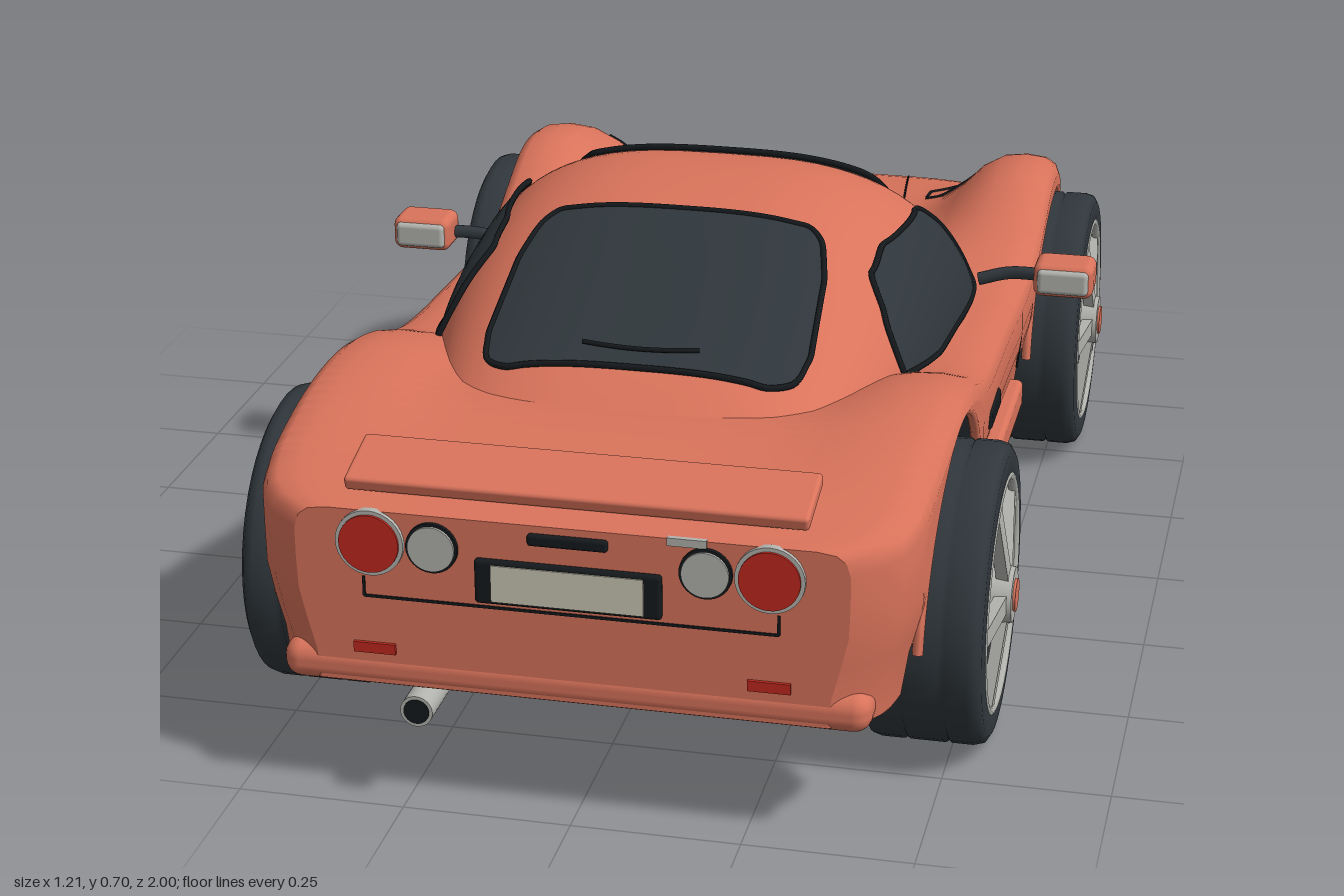
import * as THREE from 'three';
import { RoundedBoxGeometry } from 'three/addons/geometries/RoundedBoxGeometry.js';

const mat = (name, color, side = THREE.FrontSide) => {
  const m = new THREE.MeshStandardMaterial({ color, side });
  m.name = name;
  return m;
};
const paint = mat('coral paint', 0xd9735b, THREE.DoubleSide);
const glass = mat('dark glass', 0x2f363b, THREE.DoubleSide);
const rubber = mat('tyre rubber', 0x30373c);
const black = mat('black trim', 0x15191c);
const silver = mat('silver', 0xb2b2ae);
const red = mat('red lens', 0xc0281e);
const amber = mat('amber lens', 0xd08a1c);
const cream = mat('cream plate', 0xcbc8b4);

// Curve through [position, value, position, value, ...]
const curve = (keys, Type = THREE.CubicInterpolant) => {
  const p = keys.filter((_, i) => i % 2 === 0), v = keys.filter((_, i) => i % 2 === 1);
  const it = new Type(p, v, 1, new Float32Array(1));
  return (t) => it.evaluate(Math.min(Math.max(t, p[0]), p[p.length - 1] - 1e-6))[0];
};
const line = (keys) => curve(keys, THREE.LinearInterpolant);
const lerp = THREE.MathUtils.lerp;

// Body measures along the length (nose at -z, tail at +z)
const width = curve([-0.99, 0.37, -0.975, 0.39, -0.93, 0.42, -0.88, 0.45, -0.8, 0.475, -0.7, 0.485, 0, 0.485,
  0.8, 0.487, 0.88, 0.48, 0.93, 0.465, 0.965, 0.435, 0.985, 0.4]);
const deck = curve([-0.99, 0.335, -0.97, 0.35, -0.9, 0.365, -0.7, 0.385, -0.5, 0.4, -0.25, 0.425, 0, 0.43, 0.3, 0.44,
  0.5, 0.48, 0.65, 0.505, 0.8, 0.497, 0.9, 0.485, 0.96, 0.475, 0.985, 0.465]);
const fender = curve([-0.99, 0.325, -0.97, 0.342, -0.92, 0.36, -0.85, 0.39, -0.77, 0.455, -0.7, 0.5, -0.6, 0.525, -0.52, 0.52,
  -0.42, 0.48, -0.35, 0.45, -0.25, 0.43, 0, 0.438, 0.2, 0.45, 0.3, 0.468, 0.4, 0.503, 0.5, 0.525, 0.6, 0.53,
  0.7, 0.523, 0.8, 0.507, 0.9, 0.485, 0.96, 0.472, 0.985, 0.465]);
const sillLine = line([-0.99, 0.23, -0.975, 0.215, -0.86, 0.195, 0.985, 0.195]);
const ARCHES = [{ z: -0.585, a: 0.28, b: 0.235 }, { z: 0.58, a: 0.28, b: 0.268 }];
const WHEEL_Y = 0.232;
const lowerEdge = (z) => ARCHES.reduce((y, c) => {
  const d = (z - c.z) / c.a;
  return Math.abs(d) < 1 ? Math.max(y, WHEEL_Y + c.b * Math.sqrt(1 - d * d)) : y;
}, sillLine(z));

const F = [0, 0.25, 0.45, 0.55, 0.64, 0.72, 0.8, 0.88];
const WT = [0, 0, 0.03, 0.15, 0.45, 0.78, 0.96, 1];
const swell = line(F.flatMap((f, i) => [f, WT[i]]));
const topY = (x, z) => lerp(deck(z), fender(z), swell(Math.abs(x) / width(z)));

// Half section from the centre line out over the fender and down the side
function halfSection(z) {
  const W = width(z), yf = fender(z), yb = lowerEdge(z), ys = Math.max(yf - 0.035, yb);
  const pts = F.map((f) => [f * W, topY(f * W, z)]);
  [[0.95, 0.004], [0.985, 0.015]].forEach(([f, d]) => pts.push([f * W, Math.max(yf - d, yb)]));
  for (let i = 0; i <= 5; i++) {
    const y = lerp(ys, yb, i / 5);
    pts.push([W - 0.03 * THREE.MathUtils.smoothstep(0.36 - y, 0, 0.16), y]);
  }
  return pts;
}
const fullSection = (z) => {
  const h = halfSection(z);
  return [...h.slice(1).reverse().map(([x, y]) => [-x, y]), ...h];
};

// Surface through rows of [x, y, z] points
function surface(name, material, rows) {
  const n = rows[0].length, index = [];
  for (let i = 0; i < rows.length - 1; i++) for (let j = 0; j < n - 1; j++) {
    const a = i * n + j, b = a + n;
    index.push(a, b, a + 1, b, b + 1, a + 1);
  }
  const g = new THREE.BufferGeometry();
  g.setAttribute('position', new THREE.Float32BufferAttribute(rows.flat(2), 3));
  g.setIndex(index);
  g.computeVertexNormals();
  return part(name, g, material);
}
function part(name, geometry, material, x = 0, y = 0, z = 0) {
  const m = new THREE.Mesh(geometry, material);
  m.name = name;
  m.position.set(x, y, z);
  return m;
}
const box = (name, m, w, h, d, x, y, z) => part(name, new THREE.BoxGeometry(w, h, d), m, x, y, z);
const round = (name, m, w, h, d, r, x, y, z) => part(name, new RoundedBoxGeometry(w, h, d, 3, r), m, x, y, z);
const disc = (name, m, r, d, x, y, z) => part(name, new THREE.CylinderGeometry(r, r, d, 32).rotateX(Math.PI / 2), m, x, y, z);
const wire = (name, m, pts, r, closed = false) => part(name, new THREE.TubeGeometry(
  new THREE.CatmullRomCurve3(pts.map((p) => new THREE.Vector3(...p)), closed, 'centripetal'), pts.length * 3, r, 6, closed), m);
const steps = (n, a, b) => Array.from({ length: n + 1 }, (_, i) => lerp(a, b, i / n));

// Cabin: |x/w|^3 + ((y-base)/h)^2 = 1 at every z
const BASE = 0.42;
const cabW = curve([-0.25, 0.38, -0.1, 0.41, 0.1, 0.405, 0.3, 0.39, 0.45, 0.36, 0.6, 0.315, 0.66, 0.29]);
const roof = curve([-0.255, 0.425, -0.2, 0.51, -0.13, 0.61, -0.07, 0.67, 0, 0.695, 0.08, 0.702, 0.2, 0.69, 0.3, 0.665,
  0.42, 0.615, 0.52, 0.57, 0.6, 0.535, 0.66, 0.5]);
const cabTop = (x, z, o = 0) => BASE + (roof(z) - BASE + o) * Math.sqrt(Math.max(0, 1 - (Math.abs(x) / (cabW(z) + o)) ** 3));
const cabSide = (y, z, o = 0) => (cabW(z) + o) * Math.cbrt(Math.max(0, 1 - ((y - BASE) / (roof(z) - BASE + o)) ** 2));

function pane(name, rows) {
  const g = new THREE.Group(), last = rows.length - 1;
  g.name = name;
  const rim = [...rows[0], ...rows.slice(1, last).map((r) => r[r.length - 1]), ...[...rows[last]].reverse(),
    ...rows.slice(1, last).reverse().map((r) => r[0])];
  g.add(surface(name + 'Glass', glass, rows), wire(name + 'Seal', black, rim, 0.005, true));
  return g;
}

function wheel(name, side, z) {
  const g = new THREE.Group();
  g.name = name;
  const half = [[0.176, 0.08], [0.182, 0.09], [0.212, 0.089], [0.224, 0.082], [0.228, 0.068], [0.228, 0.036], [0.222, 0.031], [0.228, 0.026]];
  const prof = [...half.map(([r, y]) => [r, -y]), ...[...half].reverse()].map((p) => new THREE.Vector2(...p));
  g.add(part('tyre', new THREE.LatheGeometry(prof, 48), rubber));
  g.add(part('wheelDisc', new THREE.CylinderGeometry(0.18, 0.18, 0.13, 40), rubber));
  g.add(part('rim', new THREE.TorusGeometry(0.177, 0.008, 8, 48).rotateX(Math.PI / 2), silver, 0, 0.084, 0));
  for (let i = 0; i < 5; i++) {
    const s = new THREE.BoxGeometry(0.03, 0.018, 0.155).translate(0, 0, 0.1).rotateX(0.1).rotateY(i * Math.PI * 0.4);
    g.add(part('spoke', s, silver, 0, 0.096, 0));
  }
  g.add(part('hub', new THREE.CylinderGeometry(0.042, 0.05, 0.05, 24), silver, 0, 0.083, 0));
  g.add(part('hubCap', new THREE.CylinderGeometry(0.025, 0.025, 0.02, 24), paint, 0, 0.102, 0));
  g.rotation.z = -side * Math.PI / 2;
  g.position.set(side * 0.47, WHEEL_Y, z);
  return g;
}

export function createModel() {
  const car = new THREE.Group();
  car.name = 'sportsCar';

  // Body shell with open wheel arches, end faces and under-panels
  const zs = steps(70, -0.99, 0.985);
  ARCHES.forEach((c) => {
    for (let i = 0; i <= 28; i++) zs.push(c.z - c.a * Math.cos(i / 28 * Math.PI));
    zs.push(c.z - c.a - 0.001, c.z + c.a + 0.001);
  });
  zs.sort((a, b) => a - b);
  car.add(surface('bodyShell', paint, zs.map((z) => fullSection(z).map(([x, y]) => [x, y, z]))));
  [['noseFace', -0.99], ['tailFace', 0.985]].forEach(([name, z]) => car.add(part(name,
    new THREE.ShapeGeometry(new THREE.Shape(fullSection(z).map((p) => new THREE.Vector2(...p)))), paint, 0, 0, z)));
  [['nosePan', -0.99, -0.867], ['tailPan', 0.862, 0.985]].forEach(([name, a, b]) => car.add(surface(name, paint,
    steps(8, a, b).map((z) => { const x = width(z) - 0.03; return [[-x, sillLine(z), z], [x, sillLine(z), z]]; }))));
  car.add(box('floor', black, 0.69, 0.02, 1.77, 0, 0.172, 0.005), box('sills', black, 0.93, 0.032, 0.58, 0, 0.187, 0));

  // Cabin and windows
  car.add(surface('cabin', paint, steps(70, -0.255, 0.66).map((z) => steps(40, 0, Math.PI).map((t) => {
    const c = Math.cos(t);
    return [cabW(z) * Math.sign(c) * Math.abs(c) ** (2 / 3), BASE + (roof(z) - BASE) * Math.sin(t), z];
  }))));
  const topPane = (name, a, b, hw) => pane(name, steps(16, a, b).map((z) =>
    steps(16, -hw(z), hw(z)).map((x) => [x, cabTop(x, z, 0.007), z])));
  car.add(topPane('windscreen', -0.235, -0.055, line([-0.235, 0.31, -0.15, 0.29, -0.08, 0.25, -0.055, 0.225])));
  car.add(topPane('rearWindow', 0.25, 0.585, line([0.25, 0.2, 0.275, 0.225, 0.35, 0.242, 0.5, 0.25, 0.56, 0.24, 0.585, 0.2])));
  const low = line([-0.16, 0.455, 0.2, 0.46, 0.37, 0.485]);
  const high = line([-0.16, 0.465, -0.07, 0.58, -0.02, 0.622, 0.2, 0.63, 0.29, 0.61, 0.355, 0.545, 0.37, 0.495]);
  car.add(box('scuttleVent', black, 0.62, 0.012, 0.02, 0, 0.432, -0.247));
  [-0.2, 0.04].forEach((x) => car.add(wire('windscreenWiper', black,
    steps(4, 0, 1).map((t) => [x + t * 0.12, cabTop(x + t * 0.12, -0.225 + t * 0.04, 0.014), -0.225 + t * 0.04]), 0.004)));
  car.add(wire('rearWiper', black, steps(6, -0.09, 0.09).map((x) => [x, cabTop(x, 0.555 - x * x, 0.012), 0.555 - x * x]), 0.004));

  for (const s of [1, -1]) {
    car.add(pane('sideWindow', steps(24, -0.16, 0.37).map((z) =>
      steps(8, low(z), high(z)).map((y) => [s * cabSide(y, z, 0.006), y, z]))));
    // Wheels and arch lips
    ARCHES.forEach((c, i) => {
      car.add(wheel(i ? 'rearWheel' : 'frontWheel', s, c.z));
      car.add(wire('archLip', paint, steps(20, 0.1, Math.PI - 0.1).map((t) => {
        const z = c.z + c.a * Math.cos(t);
        return [s * (width(z) - 0.008), WHEEL_Y + c.b * Math.sin(t), z];
      }), 0.008));
    });
    // Door details
    car.add(round('sideSkirt', paint, 0.05, 0.05, 0.455, 0.01, s * 0.462, 0.226, 0));
    car.add(round('doorHandle', black, 0.014, 0.032, 0.11, 0.006, s * 0.484, 0.355, 0.165));
    car.add(wire('doorSeam', black, [[s * 0.485, 0.39, -0.18], [s * 0.485, 0.36, -0.19], [s * 0.477, 0.28, -0.205]], 0.002));
    // Mirrors
    car.add(round('mirrorShell', paint, 0.1, 0.058, 0.075, 0.015, s * 0.557, 0.467, -0.167));
    car.add(round('mirrorGlass', silver, 0.085, 0.042, 0.02, 0.008, s * 0.557, 0.467, -0.133));
    car.add(wire('mirrorStalk', rubber, [[s * 0.41, 0.445, -0.18], [s * 0.46, 0.458, -0.185], [s * 0.52, 0.463, -0.175]], 0.011));
    // Bonnet seams and headlamp cover outlines
    const onTop = (x, z) => [s * x, topY(x, z) + 0.001, z];
    car.add(wire('bonnetSeam', black, steps(16, 0, 1).map((t) => onTop(lerp(0.165, 0.25, t), lerp(-0.97, -0.26, t))), 0.0018));
    const corners = [[0.36, -0.89], [0.37, -0.73], [0.235, -0.73], [0.235, -0.79], [0.35, -0.89]];
    corners.slice(1).forEach(([x, z], i) => car.add(wire('headlampSeam', black,
      steps(5, 0, 1).map((t) => onTop(lerp(corners[i][0], x, t), lerp(corners[i][1], z, t))), 0.003)));
    // Lamps
    car.add(round('frontIndicator', amber, 0.095, 0.04, 0.016, 0.007, s * 0.285, 0.278, -0.99));
    car.add(disc('tailLampRing', silver, 0.05, 0.012, s * 0.288, 0.418, 0.986), disc('tailLamp', red, 0.044, 0.018, s * 0.288, 0.418, 0.987));
    car.add(disc('reverseLampRing', black, 0.038, 0.01, s * 0.197, 0.418, 0.986), disc('reverseLamp', silver, 0.034, 0.018, s * 0.197, 0.418, 0.986));
    car.add(box('rearReflector', red, 0.062, 0.016, 0.012, s * 0.287, 0.252, 0.984));
    car.add(box('panelSeamSide', black, 0.004, 0.03, 0.004, s * 0.3, 0.348, 0.985));
  }

  // Nose grille
  car.add(round('grille', black, 0.34, 0.058, 0.016, 0.007, 0, 0.276, -0.991));

  // Tail
  car.add(round('rearBumper', paint, 0.86, 0.06, 0.1, 0.026, 0, 0.215, 0.937));
  const spoiler = round('spoiler', paint, 0.67, 0.022, 0.11, 0.006, 0, 0.501, 0.9);
  spoiler.rotation.x = 0.24;
  car.add(spoiler);
  car.add(box('spoilerMount', paint, 0.6, 0.03, 0.05, 0, 0.485, 0.89));
  car.add(round('plateFrame', black, 0.27, 0.068, 0.014, 0.006, 0, 0.375, 0.988), box('plate', cream, 0.22, 0.056, 0.01, 0, 0.375, 0.992));
  car.add(round('bootHandle', black, 0.116, 0.018, 0.012, 0.005, 0, 0.445, 0.987));
  car.add(box('bootBadgeStrip', silver, 0.056, 0.012, 0.008, 0.17, 0.461, 0.984));
  car.add(box('panelSeam', black, 0.6, 0.004, 0.004, 0, 0.333, 0.985));
  car.add(disc('exhaust', silver, 0.024, 0.1, -0.225, 0.162, 0.949), disc('exhaustBore', black, 0.019, 0.002, -0.225, 0.162, 0.9995));
  return car;
}
